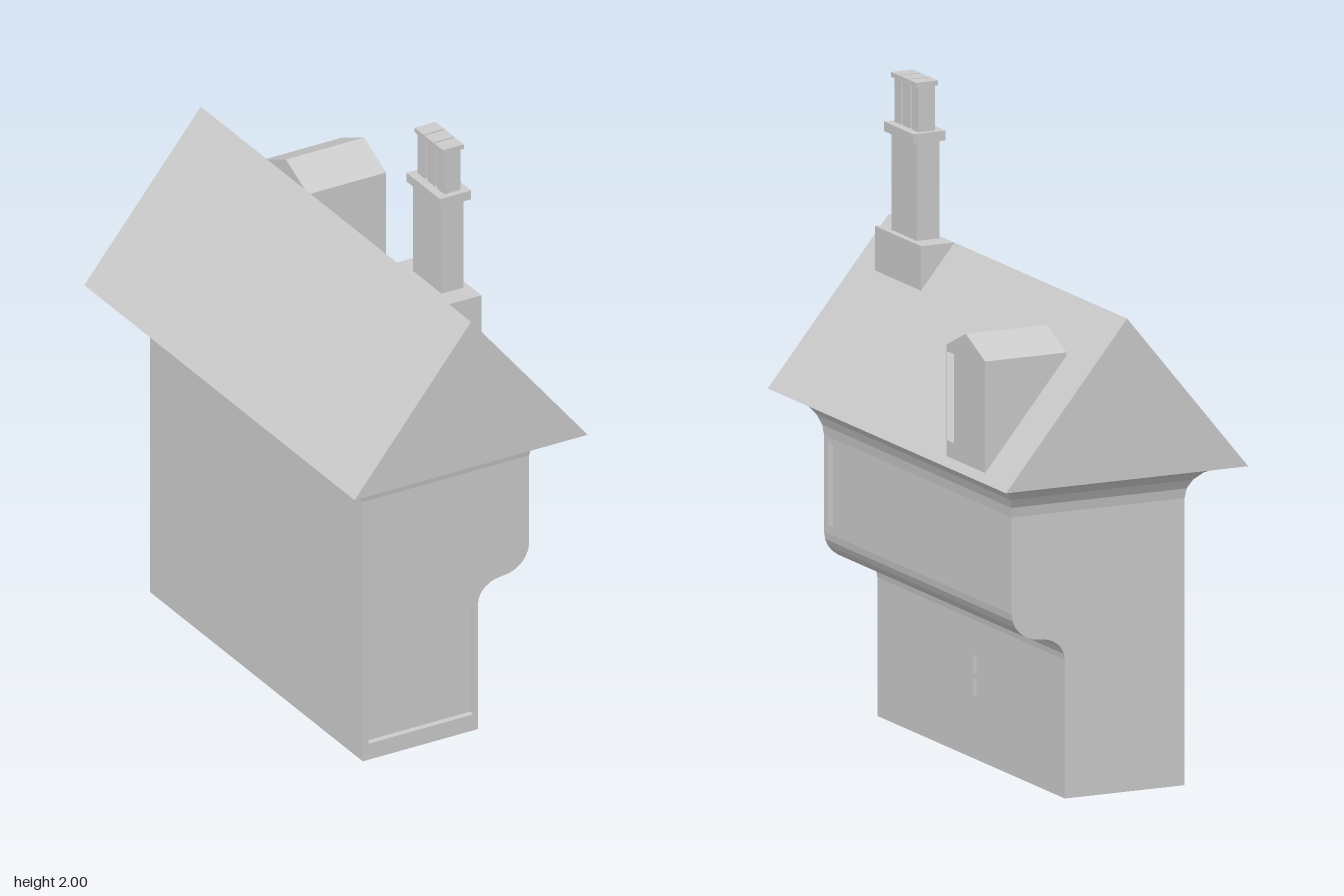
import * as THREE from 'three';

const material = new THREE.MeshStandardMaterial({ color: 0xcccccc, flatShading: true });
const D = 0.02; // depth of the window and door recesses

function add(parent, name, geometry) {
  const mesh = new THREE.Mesh(geometry, material);
  mesh.name = name;
  parent.add(mesh);
  return mesh;
}

const shapeOf = (points) => new THREE.Shape(points.map(([x, y]) => new THREE.Vector2(x, y)));

// Box from its lower and upper bounds on each axis
function box(parent, name, x0, x1, y0, y1, z0, z1) {
  add(parent, name, new THREE.BoxGeometry(x1 - x0, y1 - y0, z1 - z0))
    .position.set((x0 + x1) / 2, (y0 + y1) / 2, (z0 + z1) / 2);
}

// Outline in (x, y) pushed from z0 to z1
function alongZ(parent, name, shape, z0, z1) {
  add(parent, name, new THREE.ExtrudeGeometry(shape, { depth: z1 - z0, bevelEnabled: false }))
    .position.z = z0;
}

// Outline in (z, y) pushed from x0 to x1, with rectangular holes [z0, z1, y0, y1]
function alongX(parent, name, outline, holes, x0, x1) {
  const turn = (points) => points.map(([z, y]) => [-z, y]);
  const shape = shapeOf(turn(outline));
  shape.holes = holes.map(([z0, z1, y0, y1]) =>
    shapeOf(turn([[z0, y0], [z1, y0], [z1, y1], [z0, y1]])));
  const geometry = new THREE.ExtrudeGeometry(shape, { depth: x1 - x0, bevelEnabled: false });
  geometry.rotateY(Math.PI / 2);
  add(parent, name, geometry).position.x = x0;
}

const rect = (a0, a1, b0, b1) => [[a0, b0], [a1, b0], [a1, b1], [a0, b1]];

// House cross-section with a jettied upper floor; inset pulls the straight right walls inwards
function houseProfile(inset) {
  const points = [[-0.28, 0], [0.125 - inset, 0]];
  if (inset) points.push([0.125 - inset, 0.43]);
  const steps = 6;
  for (let i = 0; i <= steps; i++) {
    const a = (i / steps) * Math.PI / 2;
    points.push([0.21 - 0.085 * Math.cos(a), 0.43 + 0.072 * Math.sin(a)]);
  }
  for (let i = 1; i <= steps; i++) {
    const a = (i / steps) * Math.PI / 2;
    points.push([0.21 + 0.095 * Math.sin(a), 0.59 - 0.088 * Math.cos(a)]);
  }
  if (inset) points.push([0.305 - inset, 0.59]);
  points.push([0.305 - inset, 0.89], [-0.28, 0.89]);
  return shapeOf(points);
}

// Coved eaves: rectangular rings that flare out to the roof edge
function covedEaves() {
  const steps = 6, positions = [], index = [];
  const mix = THREE.MathUtils.lerp;
  for (let i = 0; i <= steps; i++) {
    const a = (i / steps) * Math.PI / 2, t = 1 - Math.cos(a);
    const y = 0.89 + 0.12 * Math.sin(a);
    const left = mix(-0.28, -0.41, t), right = mix(0.305, 0.41, t), z = mix(0.63, 0.8, t);
    positions.push(left, y, z, right, y, z, right, y, -z, left, y, -z);
  }
  for (let i = 0; i < steps; i++) {
    for (let j = 0; j < 4; j++) {
      const a = i * 4 + j, b = i * 4 + (j + 1) % 4;
      index.push(a, b, b + 4, a, b + 4, a + 4);
    }
  }
  const geometry = new THREE.BufferGeometry();
  geometry.setAttribute('position', new THREE.Float32BufferAttribute(positions, 3));
  geometry.setIndex(index);
  const flat = geometry.toNonIndexed();
  flat.computeVertexNormals();
  return flat;
}

export function createModel() {
  const house = new THREE.Group();
  house.name = 'house';

  // Walls: a solid core, faced with panels whose holes form the recesses
  const walls = new THREE.Group();
  walls.name = 'walls';
  house.add(walls);
  alongZ(walls, 'wallCore', houseProfile(D), -0.63, 0.63 - D);

  const front = houseProfile(0);
  front.holes.push(shapeOf([[-0.26, 0.055], [0.11, 0.055], [0.11, 0.42], [0.035, 0.48], [-0.26, 0.48]]));
  alongZ(walls, 'frontWallWithDoorway', front, 0.63 - D, 0.63);

  const lowerHoles = [
    [0.265, 0.56, 0.085, 0.345],
    [-0.585, -0.14, 0.08, 0.29],
    [-0.08, 0.065, 0.345, 0.425],
  ];
  for (const z of [0.003, -0.069]) {
    for (const y of [0.19, 0.26]) lowerHoles.push([z, z + 0.057, y, y + 0.06]);
  }
  alongX(walls, 'lowerSideWall', rect(-0.63, 0.63 - D, 0, 0.43), lowerHoles, 0.125 - D, 0.125);

  const upperHoles = [
    [0.11, 0.605, 0.615, 0.87],
    [-0.21, -0.105, 0.6, 0.885],
    [-0.585, -0.255, 0.625, 0.855],
  ];
  alongX(walls, 'upperSideWall', rect(-0.63, 0.63 - D, 0.59, 0.89), upperHoles, 0.305 - D, 0.305);

  // Roof
  add(house, 'covedEaves', covedEaves());
  alongZ(house, 'roof', shapeOf([[-0.41, 1.01], [0.41, 1.01], [0, 1.51]]), -0.8, 0.8);

  // Dormer
  const dormer = new THREE.Group();
  dormer.name = 'dormer';
  house.add(dormer);
  const gable = [[-0.62, 1.03], [-0.36, 1.03], [-0.36, 1.38], [-0.49, 1.44], [-0.62, 1.38]];
  alongX(dormer, 'dormerBody', gable, [], 0.115, 0.365);
  alongX(dormer, 'dormerFront', gable,
    [[-0.615, -0.515, 1.085, 1.36], [-0.465, -0.365, 1.085, 1.36]], 0.365, 0.39);

  // Chimney
  const chimney = new THREE.Group();
  chimney.name = 'chimney';
  house.add(chimney);
  box(chimney, 'chimneyBase', 0, 0.113, 1.37, 1.51, 0.36, 0.67);
  box(chimney, 'chimneyStack', 0.015, 0.092, 1.5, 1.82, 0.43, 0.6);
  box(chimney, 'chimneyCollar', 0, 0.11, 1.815, 1.845, 0.418, 0.615);
  for (const z of [0.457, 0.515, 0.573]) {
    box(chimney, 'chimneyPot', 0.028, 0.084, 1.845, 1.99, z - 0.022, z + 0.022);
    box(chimney, 'chimneyPotRim', 0.02, 0.094, 1.985, 2, z - 0.026, z + 0.026);
  }

  return house;
}
